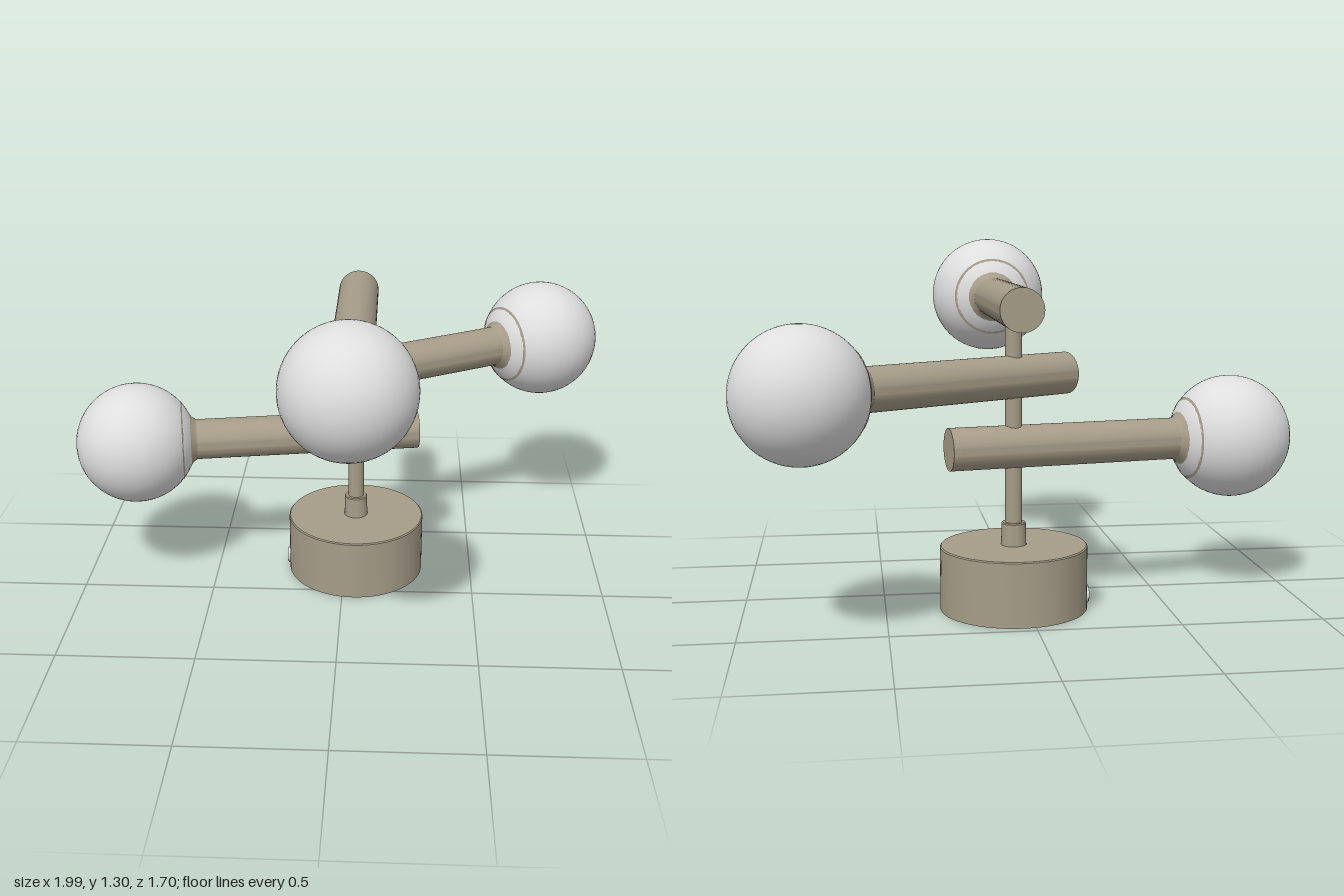
import * as THREE from 'three';
import { toCreasedNormals } from 'three/addons/utils/BufferGeometryUtils.js';

const AXIS_X = 0.045, AXIS_Z = -0.21;

export function createModel() {
  const model = new THREE.Group();
  model.name = 'tableLamp';
  const metal = new THREE.MeshStandardMaterial({ color: 0xa69c88 });
  metal.name = 'taupeMetal';
  const white = new THREE.MeshStandardMaterial({ color: 0xdedede });
  white.name = 'opalWhite';

  // everything is placed relative to the pole
  const lamp = new THREE.Group();
  lamp.name = 'lamp';
  lamp.position.set(AXIS_X, 0, AXIS_Z);
  model.add(lamp);

  const add = (parent, name, geometry, material, x = 0, y = 0, z = 0) => {
    const mesh = new THREE.Mesh(geometry, material);
    mesh.name = name;
    mesh.position.set(x, y, z);
    parent.add(mesh);
    return mesh;
  };
  const lathe = (points, segments = 64) => toCreasedNormals(
    new THREE.LatheGeometry(points.map(([r, y]) => new THREE.Vector2(r, y)), segments), 0.5);

  // hollow base, open underneath
  add(lamp, 'base', lathe([
    [0, 0.215], [0.252, 0.215], [0.252, 0], [0.262, 0],
    [0.262, 0.226], [0.258, 0.23], [0, 0.23],
  ]), metal);

  // pole, its collar and the nut under the base top
  add(lamp, 'collar', lathe([[0.045, 0.23], [0.043, 0.308], [0.04, 0.312], [0, 0.312]], 32), metal);
  add(lamp, 'pole', new THREE.CylinderGeometry(0.03, 0.03, 0.77, 32), metal, 0, 0.655);
  add(lamp, 'poleNut', new THREE.CylinderGeometry(0.045, 0.045, 0.03, 6), metal, 0, 0.2);

  // cable grip through the lower side wall
  const grip = new THREE.Group();
  grip.name = 'cableGrip';
  grip.position.set(-0.235, 0.04, 0);
  lamp.add(grip);
  [[0.03, 0.07, 0], [0.038, 0.015, 0.03], [0.034, 0.01, -0.027]].forEach(([r, length, x], i) => {
    const geometry = new THREE.CylinderGeometry(r, r, length, 20).rotateZ(Math.PI / 2);
    add(grip, 'cableGripRing' + (i + 1), geometry, white, x);
  });

  // three arms fan out at rising heights, each carrying a globe
  const armGeometry = lathe([
    [0, -0.235], [0.0755, -0.235], [0.0755, 0.61], [0.086, 0.626],
    [0.108, 0.642], [0.148, 0.665], [0, 0.665],
  ], 48).rotateX(Math.PI / 2);
  const globeGeometry = new THREE.SphereGeometry(0.224, 48, 32);
  const arms = [
    ['lower', 0.582, -0.985, 0.17],
    ['middle', 0.828, 0.866, -0.5],
    ['upper', 1.075, 0, 1],
  ];
  for (const [name, height, dx, dz] of arms) {
    const arm = new THREE.Group();
    arm.name = name + 'Arm';
    arm.position.y = height;
    arm.rotation.y = Math.atan2(dx, dz);
    add(arm, name + 'Tube', armGeometry, metal);
    add(arm, name + 'Globe', globeGeometry, white, 0, 0, 0.835);
    lamp.add(arm);
  }
  return model;
}
